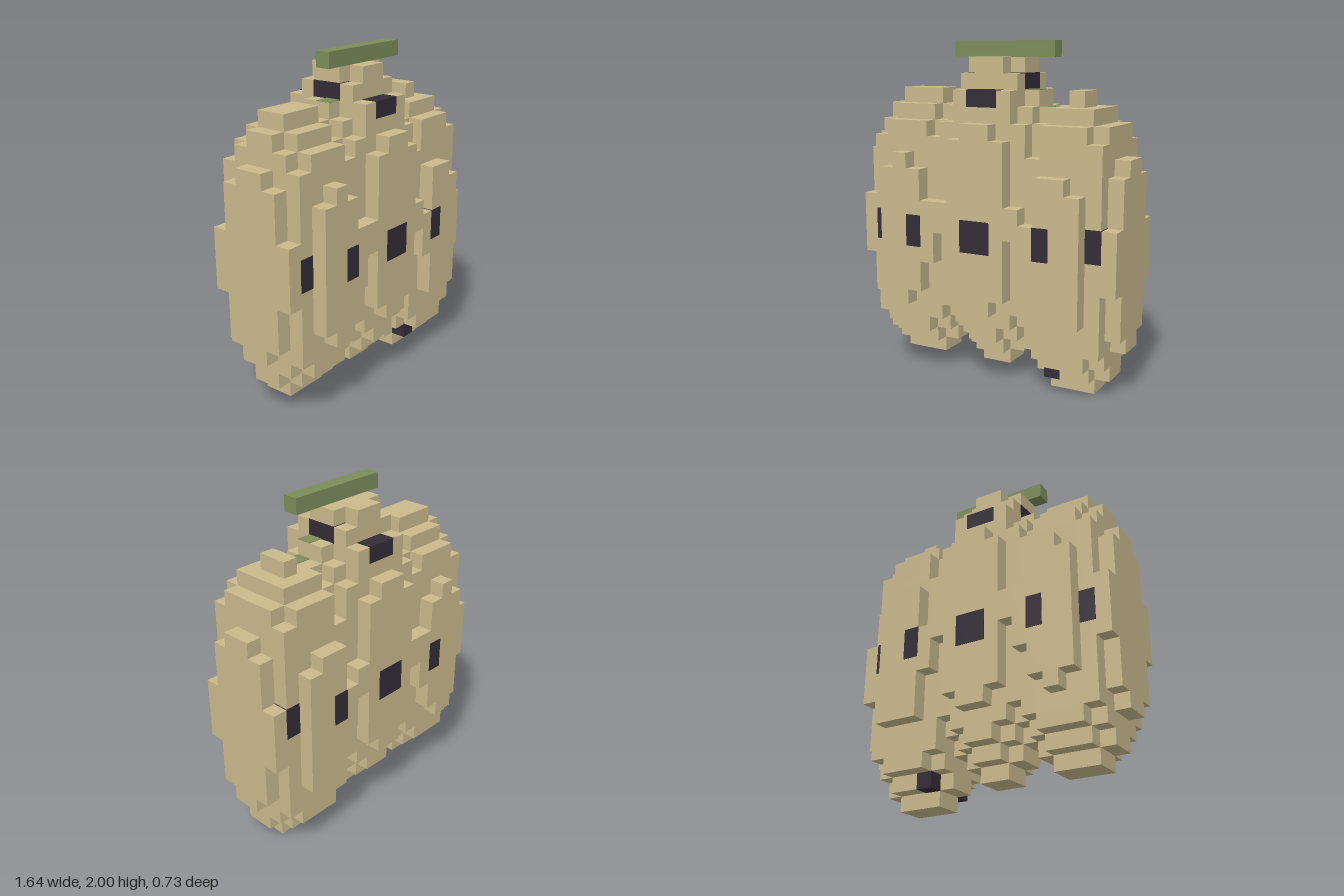
import * as THREE from 'three';

const U = 1 / 11; // size of one block

function material(name, color) {
  const m = new THREE.MeshStandardMaterial({ color });
  m.name = name;
  return m;
}
const husk = material('tan husk', 0xc9b98c);
const spot = material('dark spot', 0x342c36);
const leaf = material('leaf green', 0x7c8c5a);

// Stepped silhouettes: each run is [right edge, bottom, top] in blocks
const bodyRuns = [
  [-7, 2, 18], [-4, 1, 19], [-3, 2, 18], [-2, 3, 19], [-1, 2, 21], [1, 1, 21],
  [2, 2, 21], [3, 3, 19], [4, 1, 17], [7, 0, 18], [8, 1, 17],
];
const ribRuns = [
  [-6, 6, 14], [-5, 5, 15], [-4, 6, 14], [-3, 8, 12], [-2, 10, 12], [-1, 6, 16], [1, 5, 17],
  [2, 6, 16], [3, 10, 12], [4, 8, 11], [6, 5, 14], [7, 5, 13],
];

// Slab `half` blocks deep each way, its silhouette drawn in by `inset` at top and bottom
function slab(name, runs, start, half, inset) {
  const bottom = [], top = [];
  let x = start;
  for (const [end, lo, hi] of runs) {
    bottom.push([x, lo + inset], [end, lo + inset]);
    top.push([x, hi - inset], [end, hi - inset]);
    x = end;
  }
  const outline = [...bottom, ...top.reverse()]
    .filter((p, i, a) => i === 0 || p[0] !== a[i - 1][0] || p[1] !== a[i - 1][1])
    .map(([px, py]) => new THREE.Vector2(px * U, py * U));
  const geo = new THREE.ExtrudeGeometry(new THREE.Shape(outline), { depth: 2 * half * U, bevelEnabled: false });
  geo.translate(0, 0, -half * U);
  const mesh = new THREE.Mesh(geo, husk);
  mesh.name = name;
  return mesh;
}

// Box between block limits, optionally grown a little in every direction
function block(name, mat, x0, x1, y0, y1, z0, z1, grow = 0) {
  const geo = new THREE.BoxGeometry((x1 - x0) * U + grow, (y1 - y0) * U + grow, (z1 - z0) * U + grow);
  const mesh = new THREE.Mesh(geo, mat);
  mesh.position.set((x0 + x1) / 2 * U, (y0 + y1) / 2 * U, (z0 + z1) / 2 * U);
  mesh.name = name;
  return mesh;
}

function createBody() {
  const body = new THREE.Group();
  body.name = 'body';

  // Core slabs step in by one block per layer, with raised ribs on the faces
  for (const half of [1, 2, 3]) body.add(slab('bodySlab', bodyRuns, -8, half, half - 1));
  body.add(slab('ribs', ribRuns, -7, 4, 0));

  // Rounded cheeks; the left one sits a block lower
  [0, 1, 4].forEach((inset, i) => {
    const z = i + 1;
    body.add(block('rightCheek', husk, -9, -8, 4 + inset, 16 - inset, -z, z));
    body.add(block('leftCheek', husk, 8, 9, 3 + inset, 15 - inset, -z, z));
  });

  // Fuller left shoulder
  for (const z of [2, 3]) {
    body.add(block('shoulder', husk, 4, 7, 15, 20 - z, -z, z));
    body.add(block('shoulderEdge', husk, 7, 8, 14, 19 - z, -z, z));
    body.add(block('shoulderInner', husk, 3, 4, 14, 20 - z, 1 - z, z - 1));
  }

  // Ridge over the neck and small knob on the shoulder
  body.add(block('neckRidge', husk, -1, 1, 19.5, 21, -2, 2));
  body.add(block('knob', husk, 5, 6, 17.5, 19, -1, 1));
  return body;
}

function createSpots() {
  const spots = new THREE.Group();
  spots.name = 'spots';
  const add = (name, ...limits) => spots.add(block(name, spot, ...limits, 0.006));

  // Face spots, front and back: [left edge, right edge, bottom, top, face depth]
  const marks = [
    [-8, -7, 9, 11, 3], [-5, -4, 9, 11, 4], [-1, 1, 9, 11, 4], [4, 5, 9, 11, 4],
    [7, 8, 9, 11, 3], [-1, 1, 18, 19, 3], [4, 5, 1, 2, 2],
  ];
  for (const [x0, x1, y0, y1, z] of marks) {
    add('frontSpot', x0, x1, y0, y1, z - 1, z);
    add('backSpot', x0, x1, y0, y1, -z, 1 - z);
  }

  // Spots on both sides of the neck
  add('leftNeckSpot', 1, 2, 19, 20, -1, 1);
  add('rightNeckSpot', -2, -1, 19, 20, -1, 1);
  return spots;
}

export function createModel() {
  const model = new THREE.Group();
  model.name = 'blockFruit';
  model.add(createBody(), createSpots());

  // Stalk bar with green patches on the steps below it
  model.add(block('stalk', leaf, -3, 4, 21, 22, 0, 1));
  for (const [x, y] of [[-3, 19], [2, 19], [3, 18]]) {
    model.add(block('leafPatch', leaf, x, x + 1, y, y + 0.04, 0, 1));
  }
  return model;
}
